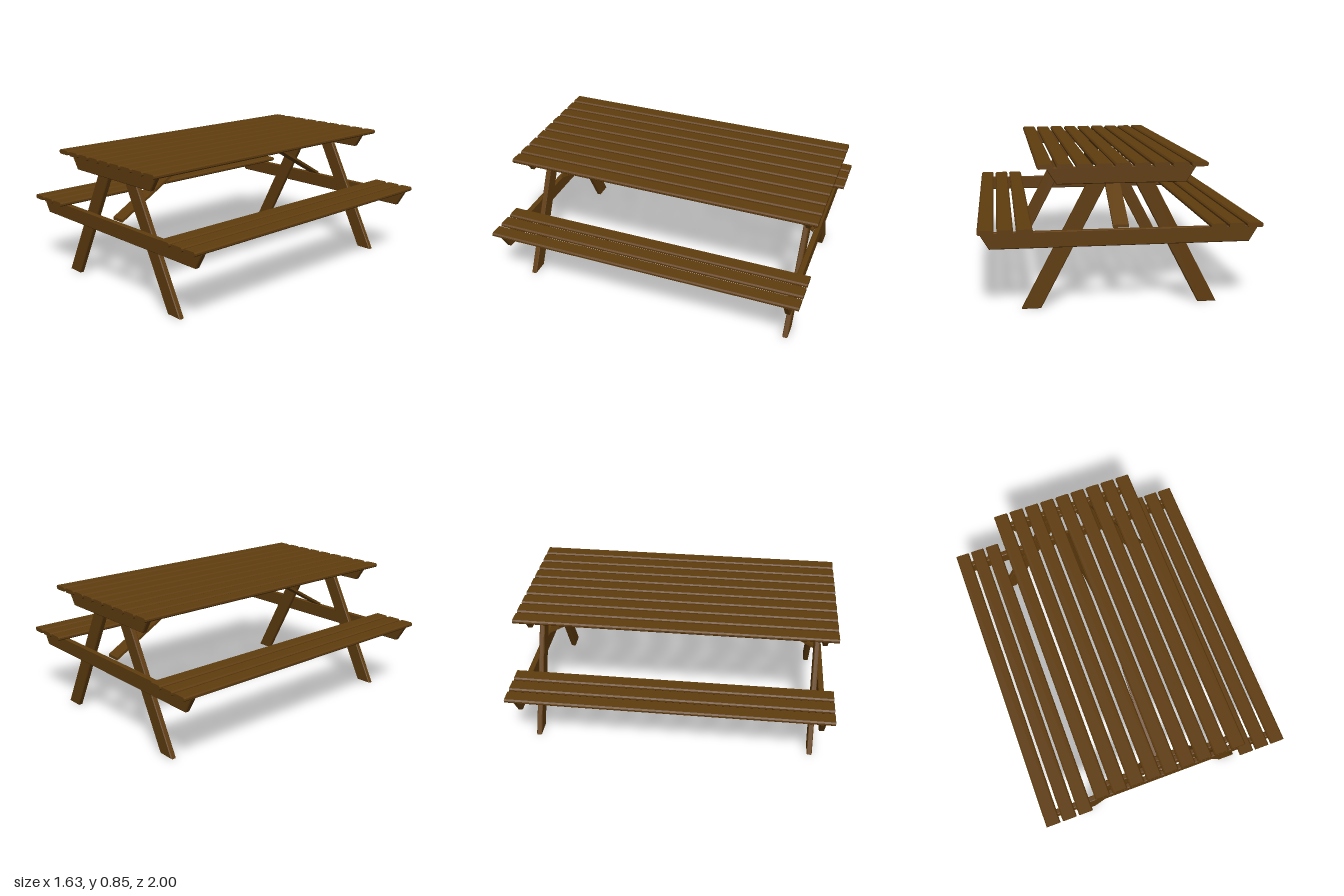
import * as THREE from 'three';

const wood = new THREE.MeshStandardMaterial({ color: 0x5f3c0e, flatShading: true });

// Board cut from an outline and centred on its thickness, with small chamfers inside the outline
function board(name, points, depth, bevel = 0) {
  const shape = new THREE.Shape(points.map(([x, y]) => new THREE.Vector2(x, y)));
  const geometry = new THREE.ExtrudeGeometry(shape, {
    depth: depth - 2 * bevel,
    bevelEnabled: bevel > 0,
    bevelThickness: bevel,
    bevelSize: bevel,
    bevelOffset: -bevel,
    bevelSegments: 1,
  });
  geometry.translate(0, 0, bevel - depth / 2);
  const mesh = new THREE.Mesh(geometry, wood);
  mesh.name = name;
  return mesh;
}

// Full-length plank with chamfered long edges
function plank(name, x, y) {
  const w = 0.046, h = 0.027, c = 0.008;
  const mesh = board(name, [
    [-w + c, 0], [w - c, 0], [w, c], [w, h - c],
    [w - c, h], [-w + c, h], [-w, h - c], [-w, c],
  ], 2);
  mesh.position.set(x, y, 0);
  return mesh;
}

// Cross beam whose ends slope inwards towards the bottom
function beam(name, topHalf, bottomHalf, bottom, top) {
  const mesh = board(name, [
    [-bottomHalf, bottom], [bottomHalf, bottom], [topHalf, top], [-topHalf, top],
  ], 0.034, 0.005);
  mesh.position.z = 0.928;
  return mesh;
}

// One end frame, built at +z
function endFrame(name) {
  const frame = new THREE.Group();
  frame.name = name;
  frame.add(beam('tableBeam', 0.43, 0.37, 0.727, 0.822));
  frame.add(beam('benchBeam', 0.807, 0.75, 0.367, 0.462));

  // Splayed legs
  for (const s of [1, -1]) {
    const outline = [[0.462, 0], [0.572, 0], [0.142, 0.822], [0.032, 0.822]].map(([x, y]) => [s * x, y]);
    const leg = board(s > 0 ? 'leftLeg' : 'rightLeg', outline, 0.034, 0.005);
    leg.position.z = 0.894;
    frame.add(leg);
  }

  // Diagonal brace from the bench beam up to the table top
  const brace = board('diagonalBrace', [
    [-0.911, 0.463], [-0.275, 0.823], [-0.307, 0.823], [-0.911, 0.481],
  ], 0.092);
  brace.rotation.y = Math.PI / 2;
  frame.add(brace);
  return frame;
}

export function createModel() {
  const table = new THREE.Group();
  table.name = 'picnicTable';

  // Table top
  const top = new THREE.Group();
  top.name = 'tableTop';
  for (let i = -4; i <= 4; i++) top.add(plank('topPlank', i * 0.1085, 0.822));
  table.add(top);

  // Benches
  for (const s of [1, -1]) {
    const bench = new THREE.Group();
    bench.name = s > 0 ? 'leftBench' : 'rightBench';
    for (let i = 0; i < 3; i++) bench.add(plank('benchPlank', s * (0.552 + i * 0.108), 0.463));
    table.add(bench);
  }

  // End frames
  const back = endFrame('backFrame');
  back.rotation.y = Math.PI;
  table.add(endFrame('frontFrame'), back);
  return table;
}
